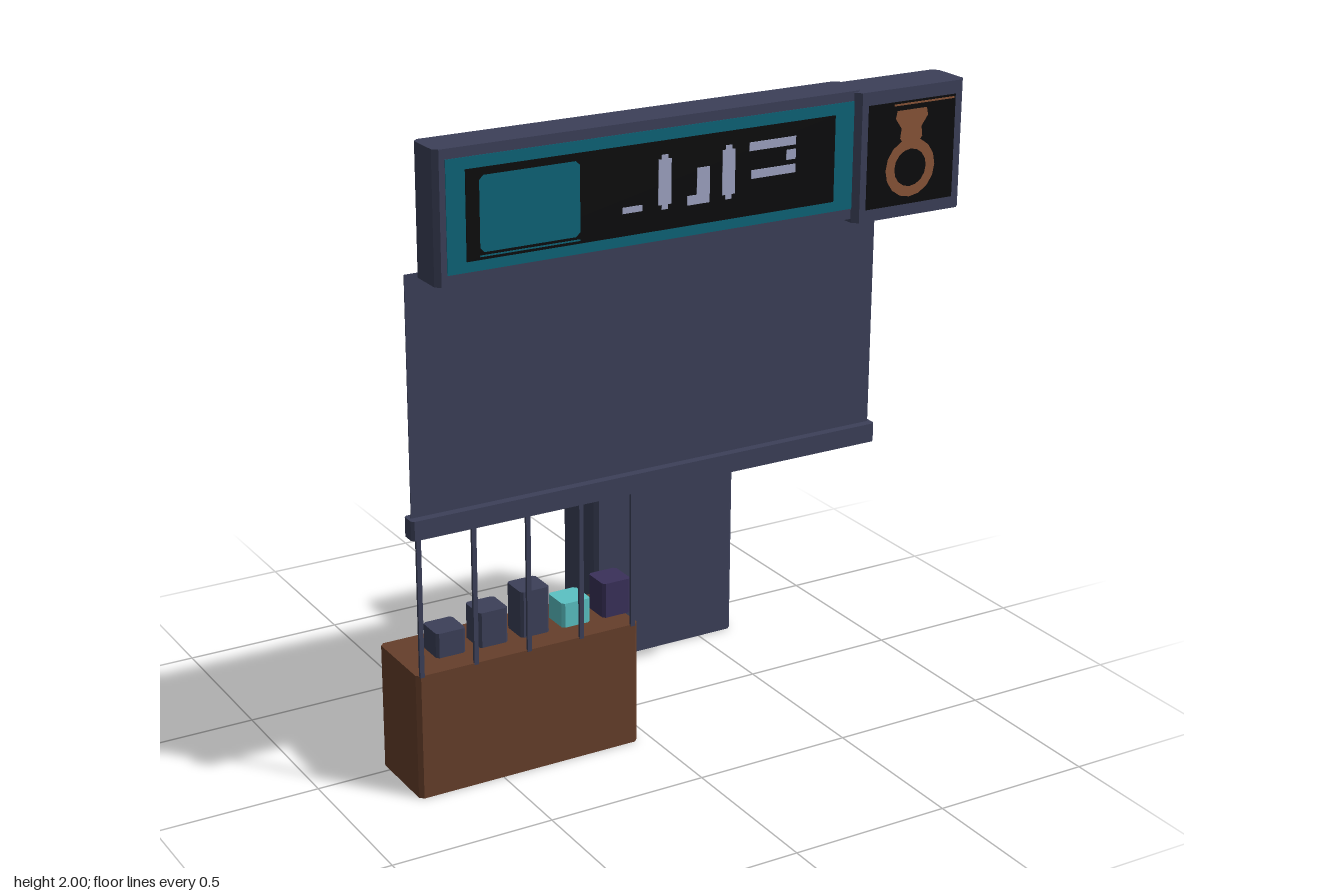
import * as THREE from 'three';

const mat = (name, color) => {
  const m = new THREE.MeshStandardMaterial({ color });
  m.name = name;
  return m;
};

export function createModel() {
  const slate = mat('slate', 0x3c4059);
  const brown = mat('brown wood', 0x663f2b);
  const teal = mat('sign teal', 0x0c6478);
  const aqua = mat('aqua', 0x5bc2c4);
  const purple = mat('purple', 0x3a315a);
  const black = mat('sign black', 0x0b0b0c);
  const pale = mat('pale marks', 0xa0a5c4);
  const copper = mat('copper', 0x8a5538);

  const root = new THREE.Group();
  const add = (name, geometry, material, parent = root) => {
    const mesh = new THREE.Mesh(geometry, material);
    mesh.name = name;
    parent.add(mesh);
    return mesh;
  };
  const group = (name) => {
    const g = new THREE.Group();
    g.name = name;
    root.add(g);
    return g;
  };

  // Block whose four upright edges are chamfered
  const block = (name, [x0, x1], [y0, y1], [z0, z1], c, material, parent) => {
    const s = new THREE.Shape([
      [x0 + c, -z1], [x1 - c, -z1], [x1, -z1 + c], [x1, -z0 - c],
      [x1 - c, -z0], [x0 + c, -z0], [x0, -z0 - c], [x0, -z1 + c],
    ].map(([x, y]) => new THREE.Vector2(x, y)));
    const g = new THREE.ExtrudeGeometry(s, { depth: y1 - y0, bevelEnabled: false });
    g.rotateX(-Math.PI / 2).translate(0, y0, 0);
    return add(name, g, material, parent);
  };

  // Thin painted plate whose face lies at the given z
  const plate = (name, [x0, x1], [y0, y1], z, material, parent) => {
    const g = new THREE.BoxGeometry(x1 - x0, y1 - y0, 0.002);
    g.translate((x0 + x1) / 2, (y0 + y1) / 2, z - 0.001);
    return add(name, g, material, parent);
  };

  // Cabinet and counter
  block('cabinet', [0.113, 0.625], [0, 0.865], [-0.54, -0.327], 0.012, slate);
  block('counter', [-0.77, -0.043], [0, 0.39], [-0.045, 0.207], 0.012, brown);

  // Goods standing in a row on the counter
  const goods = group('counterGoods');
  [[0.467, slate], [0.5, slate], [0.535, slate], [0.467, aqua], [0.5, purple]]
    .forEach(([top, material], i) => {
      const x = -0.621 + i * 0.1375;
      block('goodsBox', [x - 0.047, x + 0.047], [0.39, top], [0.035, 0.128], 0.008, material, goods);
    });

  // Slim posts between counter and ledge
  const posts = group('posts');
  for (let i = 0; i < 5; i++) {
    add('post', new THREE.BoxGeometry(0.014, 0.45, 0.009), slate, posts)
      .position.set(-0.754 + i * 0.1725, 0.61, 0.204);
  }

  // Ledge and the thin upper wall
  block('ledge', [-0.795, 0.755], [0.83, 0.888], [0.202, 0.255], 0.008, slate);
  add('upperWall', new THREE.BoxGeometry(1.53, 0.71, 0.002), slate)
    .position.set(-0.02, 1.235, 0.228);

  // Long sign with layered face plates
  const sign = group('longSign');
  const face = 0.512;
  block('longSignCase', [-0.826, 0.486], [1.636, 2], [0.387, face], 0.014, slate, sign);
  plate('tealBorder', [-0.795, 0.47], [1.666, 1.972], face + 0.002, teal, sign);
  plate('blackField', [-0.74, 0.395], [1.695, 1.94], face + 0.004, black, sign);
  const sq = new THREE.Shape([
    [-0.69, 1.715], [-0.42, 1.715], [-0.408, 1.727], [-0.408, 1.908],
    [-0.42, 1.92], [-0.69, 1.92], [-0.702, 1.908], [-0.702, 1.727],
  ].map(([x, y]) => new THREE.Vector2(x, y)));
  add('tealSquare', new THREE.ShapeGeometry(sq), teal, sign).position.z = face + 0.006;
  plate('tealLine', [-0.702, -0.408], [1.703, 1.707], face + 0.006, teal, sign);

  // Abstract pale bars on the black field
  [
    [-0.28, -0.22, 1.757, 1.774],
    [-0.17, -0.13, 1.765, 1.89], [-0.16, -0.14, 1.752, 1.902],
    [-0.05, -0.01, 1.752, 1.852], [-0.08, -0.05, 1.752, 1.778],
    [0.03, 0.07, 1.765, 1.89], [0.04, 0.06, 1.752, 1.902],
    [0.115, 0.265, 1.876, 1.9], [0.122, 0.265, 1.798, 1.822], [0.235, 0.265, 1.836, 1.864],
  ].forEach(([x0, x1, y0, y1]) => plate('paleBar', [x0, x1], [y0, y1], face + 0.006, pale, sign));

  // Square sign with a ring emblem
  const small = group('ringSign');
  const front = 0.53;
  block('ringSignCase', [0.458, 0.826], [1.625, 1.995], [0.387, front], 0.016, slate, small);
  plate('ringSignField', [0.495, 0.79], [1.66, 1.957], front + 0.002, black, small);
  const z = front + 0.004;
  add('ringBand', new THREE.RingGeometry(0.054, 0.084, 16), copper, small).position.set(0.64, 1.765, z);
  const gem = new THREE.Shape([
    [-0.025, 1.835], [0.025, 1.835], [0.038, 1.852], [0.034, 1.88], [0.055, 1.91],
    [0.05, 1.932], [-0.05, 1.932], [-0.055, 1.91], [-0.034, 1.88], [-0.038, 1.852],
  ].map(([x, y]) => new THREE.Vector2(x + 0.64, y)));
  add('ringGem', new THREE.ShapeGeometry(gem), copper, small).position.z = z;
  plate('ringSignLine', [0.58, 0.785], [1.946, 1.951], z, copper, small);

  return root;
}
